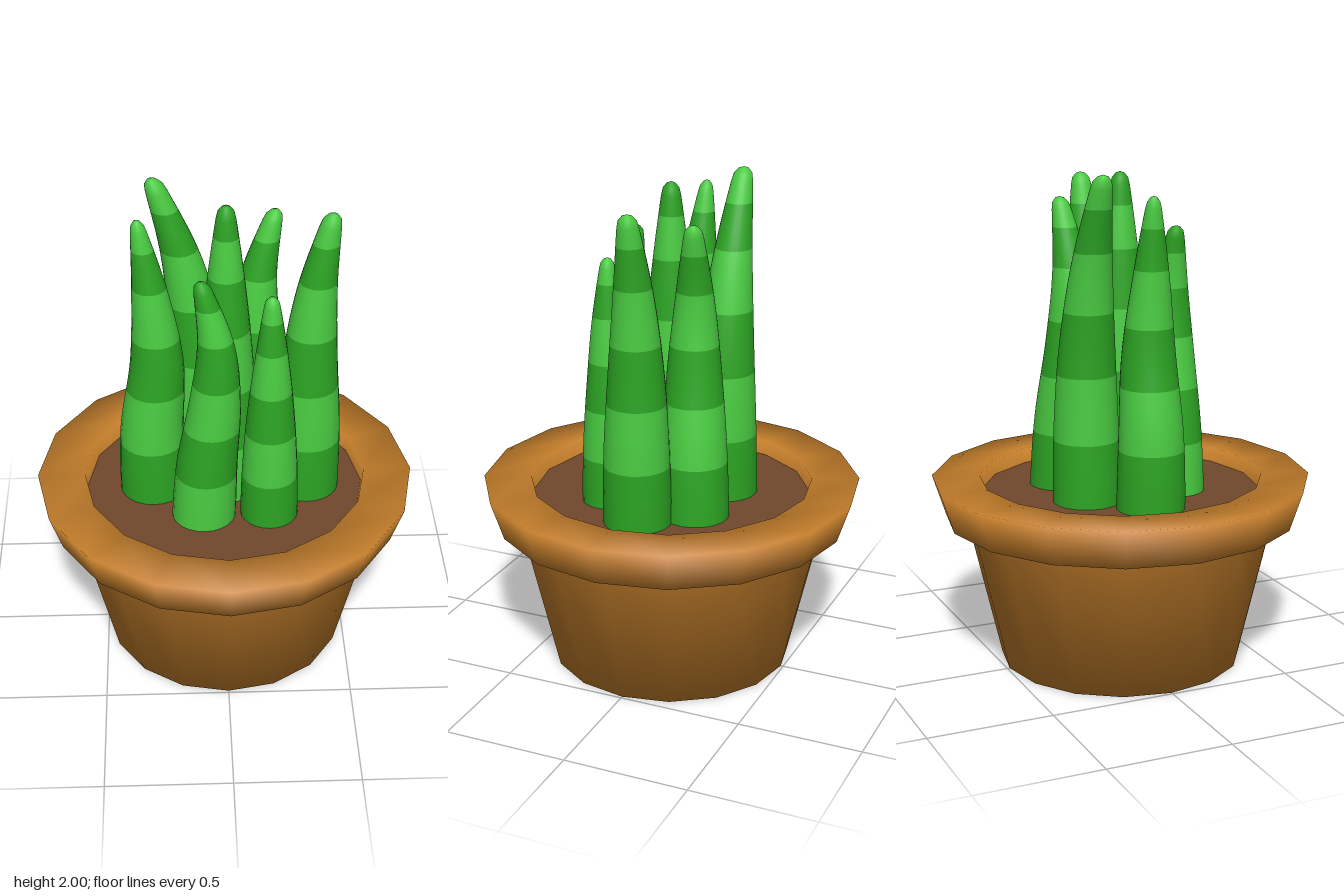
import * as THREE from 'three';

const clay = new THREE.MeshStandardMaterial({ name: 'clay', color: 0xc57f2b });
const earth = new THREE.MeshStandardMaterial({ name: 'earth', color: 0x70482d });
const darkGreen = new THREE.MeshStandardMaterial({ name: 'darkGreen', color: 0x2ca423 });
const lightGreen = new THREE.MeshStandardMaterial({ name: 'lightGreen', color: 0x49cb41 });

const SOIL_Y = 0.7;
const SIDES = 24;
const ROWS = 5;
const BANDS = [0, 0.2, 0.4, 0.59, 0.77, 0.9, 1];

// Each leaf: x and z of its centre line at five even heights, base radius, tip height, taper
const LEAVES = [
  { name: 'leftLeaf', x: [0.33, 0.335, 0.335, 0.355, 0.405], z: [0, 0, 0, 0, 0], r: 0.135, top: 1.94, taper: 0.75 },
  { name: 'rightLeaf', x: [-0.29, -0.29, -0.265, -0.285, -0.328], z: [0, 0, 0, 0, -0.01], r: 0.135, top: 1.92, taper: 0.83 },
  { name: 'centreLeaf', x: [0.005, 0.005, 0.005, 0.005, 0.005], z: [0, 0, 0, 0, 0], r: 0.133, top: 1.98, taper: 0.77, light: true },
  { name: 'frontRightLeaf', x: [-0.09, -0.075, -0.045, -0.04, -0.095], z: [0.19, 0.19, 0.195, 0.2, 0.195], r: 0.127, top: 1.77, taper: 0.77, light: true },
  { name: 'frontLeftLeaf', x: [0.172, 0.172, 0.172, 0.172, 0.17], z: [0.19, 0.19, 0.19, 0.195, 0.195], r: 0.115, top: 1.7, taper: 0.79 },
  { name: 'backLeftLeaf', x: [0.18, 0.165, 0.135, 0.135, 0.2], z: [-0.18, -0.17, -0.155, -0.155, -0.175], r: 0.135, top: 1.87, taper: 0.77 },
  { name: 'backRightLeaf', x: [-0.1, -0.095, -0.11, -0.165, -0.27], z: [-0.19, -0.19, -0.19, -0.19, -0.19], r: 0.135, top: 2.0, taper: 0.74 },
];

// Tapered, bent leaf lofted from rings, with one geometry group per stripe
function makeLeaf({ name, x, z, r, top, taper, light }) {
  const base = SOIL_Y - 0.01;
  const spine = new THREE.CatmullRomCurve3(
    x.map((px, i) => new THREE.Vector3(px, base + ((top - base) * i) / 4, z[i])), false, 'catmullrom');

  // Ring heights: even inside each stripe, crowded towards the rounded tip
  const heights = [0];
  for (let b = 0; b < BANDS.length - 1; b++) {
    for (let k = 1; k <= ROWS; k++) {
      const f = k / ROWS;
      const ease = b === BANDS.length - 2 ? Math.sin((f * Math.PI) / 2) : f;
      heights.push(THREE.MathUtils.lerp(BANDS[b], BANDS[b + 1], ease));
    }
  }

  const positions = [];
  for (const t of heights) {
    const c = spine.getPoint(t);
    const cap = t > 0.97 ? Math.sqrt(Math.max(0, 1 - ((t - 0.97) / 0.03) ** 2)) : 1;
    const radius = r * (1 - taper * t ** 1.9) * cap;
    for (let s = 0; s < SIDES; s++) {
      const a = (s / SIDES) * Math.PI * 2;
      positions.push(c.x + Math.sin(a) * radius, c.y, c.z + Math.cos(a) * radius);
    }
  }

  const index = [];
  for (let row = 0; row < heights.length - 1; row++) {
    for (let s = 0; s < SIDES; s++) {
      const a = row * SIDES + s;
      const b = row * SIDES + ((s + 1) % SIDES);
      index.push(a, b, b + SIDES, a, b + SIDES, a + SIDES);
    }
  }

  const geometry = new THREE.BufferGeometry();
  geometry.setAttribute('position', new THREE.Float32BufferAttribute(positions, 3));
  geometry.setIndex(index);
  const perBand = ROWS * SIDES * 6;
  for (let b = 0; b < BANDS.length - 1; b++) geometry.addGroup(b * perBand, perBand, b % 2);
  geometry.computeVertexNormals();

  const leaf = new THREE.Mesh(geometry, light ? [lightGreen, darkGreen] : [darkGreen, lightGreen]);
  leaf.name = name;
  return leaf;
}

export function createModel() {
  const model = new THREE.Group();
  model.name = 'pottedPlant';

  // Pot: base, tapered wall, overhanging rim and inner lip in one smooth turned shape
  const profile = [[0, 0], [0.49, 0], [0.63, 0.6], [0.71, 0.6], [0.762, 0.76], [0.57, 0.76], [0.55, 0.62]]
    .map(([px, py]) => new THREE.Vector2(px, py));
  const pot = new THREE.Mesh(new THREE.LatheGeometry(profile, 16), clay);
  pot.name = 'pot';
  model.add(pot);

  // Soil disc
  const soil = new THREE.Mesh(new THREE.CircleGeometry(0.562, 16), earth);
  soil.name = 'soil';
  soil.rotation.x = -Math.PI / 2;
  soil.position.y = SOIL_Y;
  model.add(soil);

  // Striped leaves
  const leaves = new THREE.Group();
  leaves.name = 'leaves';
  for (const spec of LEAVES) leaves.add(makeLeaf(spec));
  model.add(leaves);

  return model;
}
